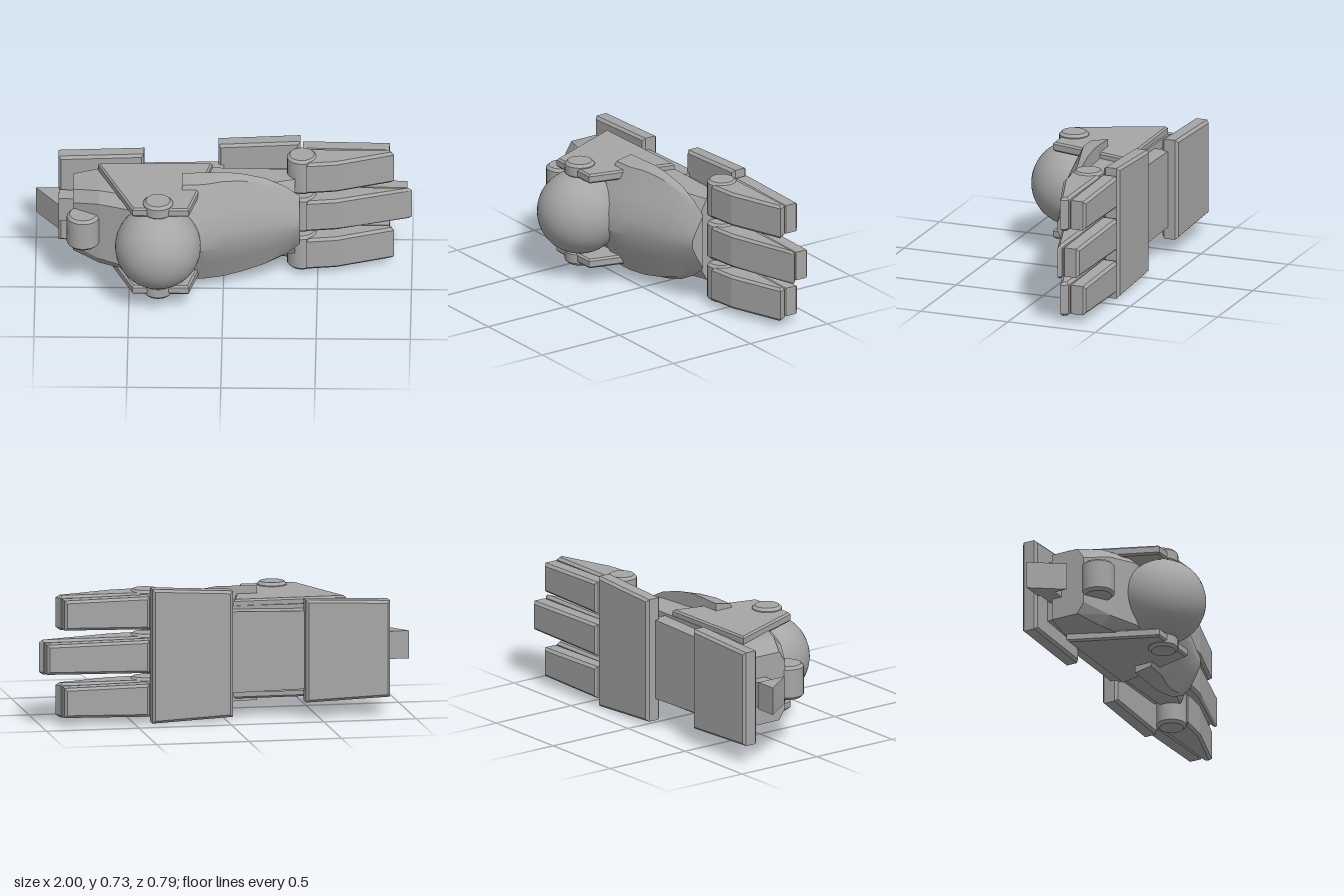
import * as THREE from 'three';
import { toCreasedNormals } from 'three/addons/utils/BufferGeometryUtils.js';

const MID = 0.3625; // height of the mirror plane

// Bevelled plate: outline in x,y extruded from z0 to z1
function plate(points, z0, z1, bevel) {
  const shape = new THREE.Shape(points.map(([a, b]) => new THREE.Vector2(a, b)));
  const geo = new THREE.ExtrudeGeometry(shape, {
    depth: z1 - z0 - 2 * bevel, bevelEnabled: bevel > 0, bevelSegments: 1,
    bevelSize: bevel, bevelThickness: bevel, bevelOffset: -bevel,
  });
  return geo.translate(0, 0, z0 + bevel);
}

// Bevelled block: outline in x,z extruded from y0 to y1
function block(points, y0, y1, bevel) {
  return plate(points, -y1, -y0, bevel).rotateX(Math.PI / 2);
}

// Solid through rings of [y, z] at successive x, each anticlockwise seen from +x
function loft(sections) {
  const pos = [];
  const put = (i, j) => {
    const [x, ring] = sections[i];
    const [y, z] = ring[j % ring.length];
    pos.push(x, MID + y, z);
  };
  const n = sections[0][1].length, last = sections.length - 1;
  for (let i = 0; i < last; i++) {
    for (let j = 0; j < n; j++) {
      put(i, j); put(i, j + 1); put(i + 1, j);
      put(i, j + 1); put(i + 1, j + 1); put(i + 1, j);
    }
  }
  for (let j = 1; j < n - 1; j++) {
    put(0, 0); put(0, j + 1); put(0, j);
    put(last, 0); put(last, j); put(last, j + 1);
  }
  const geo = new THREE.BufferGeometry();
  geo.setAttribute('position', new THREE.Float32BufferAttribute(pos, 3));
  geo.computeVertexNormals();
  return geo;
}

// Upright pin with chamfered rims
function pin(r, y0, y1) {
  const c = 0.015;
  const profile = [[0, y0], [r - c, y0], [r, y0 + c], [r, y1 - c], [r - c, y1], [0, y1]];
  const geo = new THREE.LatheGeometry(profile.map(([a, b]) => new THREE.Vector2(a, b)), 20);
  return toCreasedNormals(geo, 0.5);
}

export function createModel() {
  const group = new THREE.Group();
  group.name = 'armouredFoot';
  const grey = new THREE.MeshStandardMaterial({ color: 0xa6a6a6 });
  grey.name = 'grey';
  const add = (name, geo, x = 0, y = 0, z = 0) => {
    const mesh = new THREE.Mesh(geo, grey);
    mesh.name = name;
    mesh.position.set(x, y, z);
    group.add(mesh);
  };

  // Sole plates, slightly wider toward the toes
  const taper = (x0, h0, x1, h1) =>
    [[x0, MID - h0], [x1, MID - h1], [x1, MID + h1], [x0, MID + h0]];
  add('heelSole', plate(taper(-0.88, 0.26, -0.425, 0.277), -0.395, -0.305, 0.014));
  add('ballSole', plate(taper(-0.03, 0.34, 0.405, 0.3625), -0.395, -0.305, 0.014));
  add('archPlate', plate(taper(-0.45, 0.21, 0, 0.22), -0.34, -0.25, 0));
  add('heelCore', plate(taper(-0.76, 0.17, -0.44, 0.19), -0.31, -0.25, 0));
  add('ballCore', plate(taper(-0.01, 0.2, 0.37, 0.2), -0.31, -0.2, 0));

  // Main body: rows of x, half width, top half width, bottom z, shoulder z, top z
  const body = [
    [-0.8, 0.19, 0.13, -0.255, -0.1, -0.06],
    [-0.66, 0.225, 0.17, -0.255, -0.03, 0.02],
    [-0.5, 0.235, 0.18, -0.255, 0.03, 0.09],
    [-0.12, 0.235, 0.18, -0.255, 0.01, 0.07],
    [0.38, 0.23, 0.14, -0.25, -0.15, -0.1],
  ];
  add('body', loft(body.map(([x, h, t, zb, zs, zt]) =>
    [x, [[-h, zb], [h, zb], [h, zs], [t, zt], [-t, zt], [-h, zs]]])));

  // Instep guard: rows of x, half width, lower z, edge z, ridge z
  const instep = [
    [-0.22, 0.308, -0.08, 0.015, 0.145],
    [-0.1, 0.312, -0.08, 0.012, 0.13],
    [0.0, 0.314, -0.085, -0.018, 0.095],
    [0.1, 0.3, -0.09, -0.045, 0.06],
    [0.22, 0.268, -0.1, -0.07, 0.018],
    [0.33, 0.212, -0.105, -0.088, -0.02],
    [0.405, 0.15, -0.11, -0.1, -0.042],
  ];
  const instepGeo = loft(instep.map(([x, h, zl, ze, zr]) => {
    const e = h - 0.018, m = ze + (zr - ze) * 0.58;
    return [x, [[-h, zl], [h, zl], [e, ze], [h * 0.5, m], [h * 0.15, zr],
      [-h * 0.15, zr], [-h * 0.5, m], [-e, ze]]];
  }));
  add('instepGuard', toCreasedNormals(instepGeo, 0.45));

  // Ankle ball, side plates and pins
  add('ankleBall', new THREE.SphereGeometry(0.228, 40, 28), -0.345, MID, 0.165);
  const side = [[-0.67, -0.24], [-0.06, -0.25], [-0.18, 0.22], [-0.48, 0.22]];
  for (const s of [-1, 1]) {
    const c = MID + s * 0.242;
    add(s > 0 ? 'upperAnklePlate' : 'lowerAnklePlate', block(side, c - 0.026, c + 0.026, 0.01));
    const p = MID + s * 0.248;
    add(s > 0 ? 'upperAnklePin' : 'lowerAnklePin', pin(0.08, p - 0.04, p + 0.04), -0.345, 0, 0.165);
  }

  // Heel pin and spur
  add('heelPin', pin(0.087, 0.275, 0.46), -0.745, 0, -0.002);
  add('heelSpur', block([[-1, -0.295], [-0.875, -0.295], [-0.875, -0.12]], 0.29, 0.44, 0));
  add('spurMount', new THREE.BoxGeometry(0.13, 0.14, 0.09), -0.82, MID, -0.24);

  // Three toes, the middle one longest
  for (const s of [-1, 0, 1]) {
    const c = MID + s * 0.236;
    const tip = s === 0 ? 1 : 0.905;
    const top = s === 0 ? -0.285 : -0.262;
    const name = ['lower', 'middle', 'upper'][s + 1];
    add(name + 'Knuckle', pin(0.08, c - 0.105, c + 0.105), 0.415, 0, -0.225);
    add(name + 'Toe', block(
      [[0.44, -0.302], [tip - 0.02, -0.302], [tip, top], [0.6, -0.157], [0.44, -0.138]],
      c - 0.094, c + 0.094, 0.014));
    add(name + 'ToeSole', plate(taper(0.42, 0.088, tip - 0.025, 0.08)
      .map(([x, y]) => [x, y + c - MID]), -0.395, -0.3, 0.014));
  }
  return group;
}
